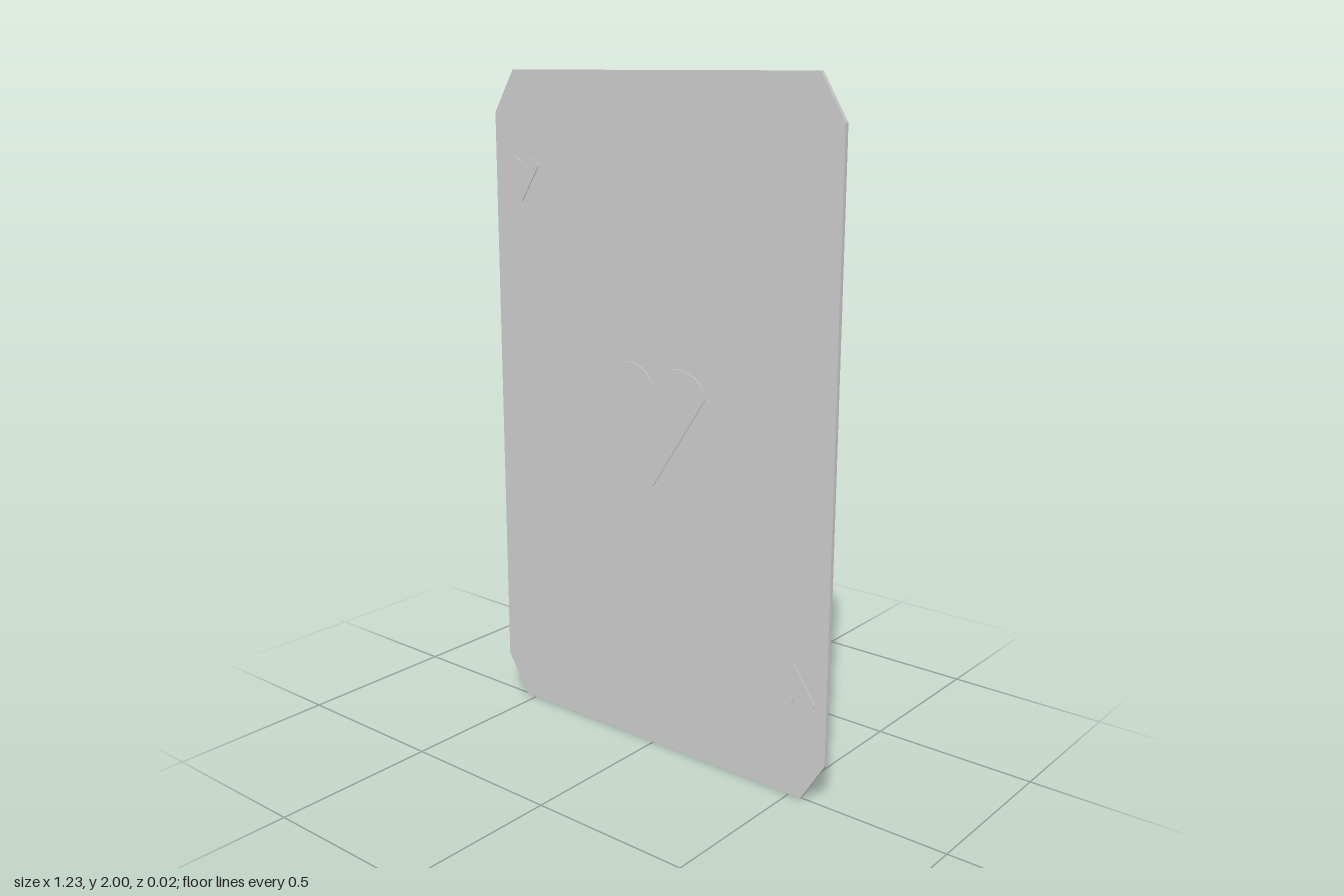
import * as THREE from 'three';

const material = new THREE.MeshStandardMaterial({ color: 0xcccccc, flatShading: true });
const BACK = -0.008, FACE = 0.005, RELIEF = 0.003;

// Flat plate with clipped corners
function cardShape(w, h, cx, cy) {
  const corners = [
    [w - cx, 0], [w, cy], [w, h - cy], [w - cx, h],
    [cx - w, h], [-w, h - cy], [-w, cy], [cx - w, 0],
  ];
  return new THREE.Shape(corners.map(([x, y]) => new THREE.Vector2(x, y)));
}

// Heart centred on its own height: two round lobes above a straight-sided point
function heartShape(halfWidth, height) {
  const top = height / 2, lobe = height * 0.21, r = halfWidth / 2;
  const shoulder = top - lobe;
  const shape = new THREE.Shape();
  shape.moveTo(0, -top);
  shape.lineTo(halfWidth, shoulder);
  shape.absellipse(r, shoulder, r, lobe, 0, Math.PI, false, 0);
  shape.absellipse(-r, shoulder, r, lobe, 0, Math.PI, false, 0);
  shape.lineTo(0, -top);
  return shape;
}

function plate(name, shape, depth) {
  const geometry = new THREE.ExtrudeGeometry(shape, { depth, bevelEnabled: false, curveSegments: 14 });
  const mesh = new THREE.Mesh(geometry, material);
  mesh.name = name;
  return mesh;
}

export function createModel() {
  const group = new THREE.Group();
  group.name = 'playingCard';

  // Card body
  const body = plate('cardBody', cardShape(0.617, 2, 0.077, 0.125), FACE - BACK);
  body.position.z = BACK;
  group.add(body);

  // Raised hearts: large centre, small upper corner, small inverted lower corner
  const hearts = [
    ['centreHeart', 0, 1, 0.187, 0.36, 0],
    ['upperCornerHeart', -0.51, 1.682, 0.068, 0.131, 0],
    ['lowerCornerHeart', 0.51, 0.338, 0.068, 0.131, Math.PI],
  ];
  for (const [name, x, y, halfWidth, height, turn] of hearts) {
    const heart = plate(name, heartShape(halfWidth, height), RELIEF);
    heart.position.set(x, y, FACE);
    heart.rotation.z = turn;
    group.add(heart);
  }
  return group;
}
